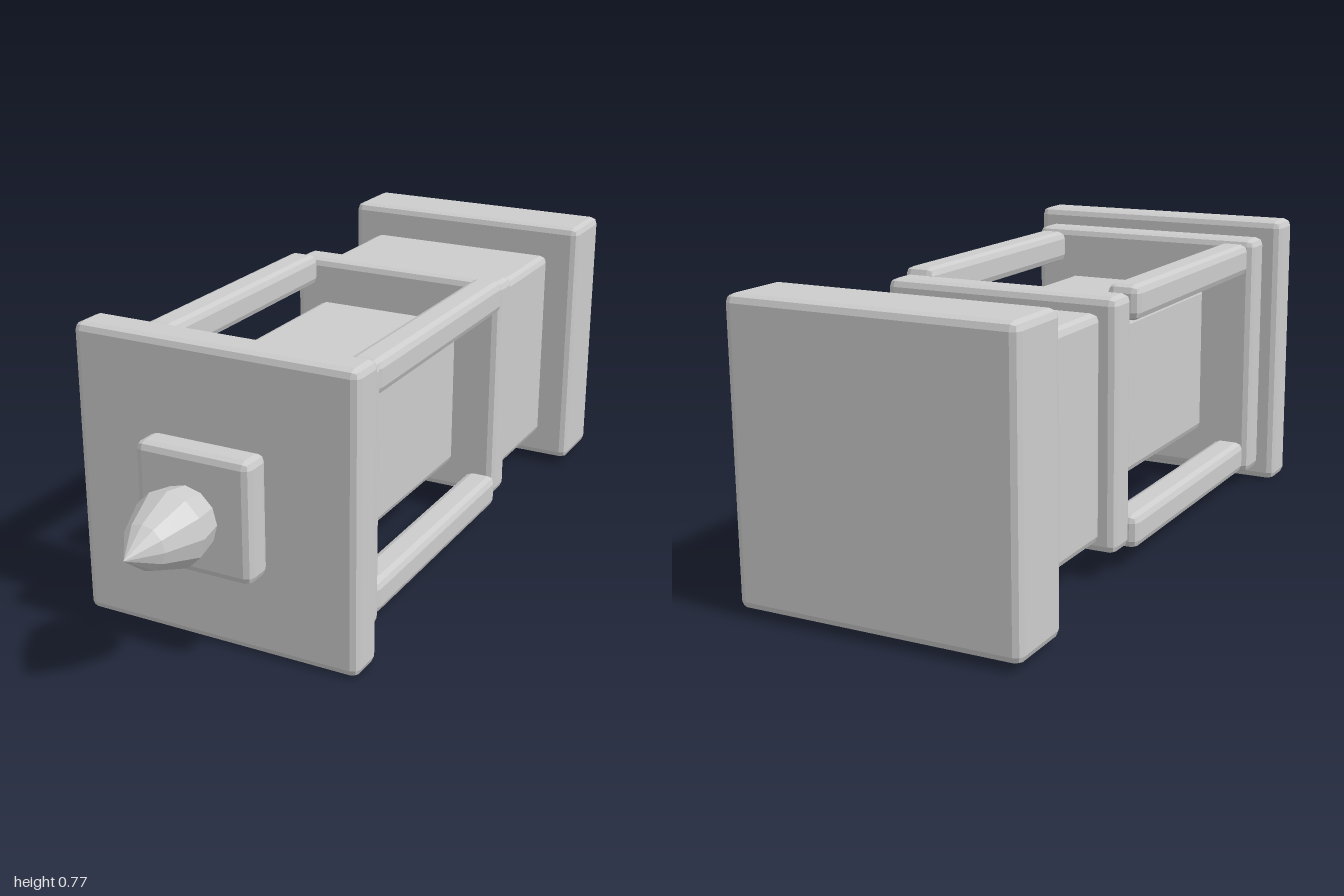
import * as THREE from 'three';
import { RoundedBoxGeometry } from 'three/addons/geometries/RoundedBoxGeometry.js';

const AXIS_Y = 0.388; // height of the lantern's long axis, which lies along z

export function createModel() {
  const model = new THREE.Group();
  model.name = 'lantern';
  const grey = new THREE.MeshStandardMaterial({ color: 0xcccccc });
  grey.name = 'plain grey';

  // Box with a two-facet bevel, square across the axis, spanning z0 to z1
  function block(name, width, z0, z1, bevel = 0.02, x = 0, y = 0) {
    const geometry = new RoundedBoxGeometry(width, width, z1 - z0, 1, bevel);
    geometry.computeVertexNormals(); // flat facets
    const mesh = new THREE.Mesh(geometry, grey);
    mesh.name = name;
    mesh.position.set(x, AXIS_Y + y, (z0 + z1) / 2);
    model.add(mesh);
  }

  // Stacked body, from the foot at the back to the cap at the front
  block('base', 0.735, -1.0, -0.807);
  block('pedestal', 0.565, -0.802, -0.435);
  block('collar', 0.633, -0.43, -0.335);
  block('lampCore', 0.42, -0.3, 0.395);
  block('lowerRoof', 0.68, 0.43, 0.525);
  block('upperRoof', 0.767, 0.53, 0.638);
  block('finialPlate', 0.31, 0.645, 0.73);

  // Four corner posts around the lamp
  for (const x of [-1, 1]) {
    for (const y of [-1, 1]) block('cornerPost', 0.087, -0.332, 0.427, 0.02, x * 0.286, y * 0.288);
  }

  // Twelve-sided pointed finial
  const profile = [[0, 0.73], [0.083, 0.752], [0.097, 0.825], [0.057, 0.925], [0, 1.0]]
    .map(([r, z]) => new THREE.Vector2(r, z));
  const finialGeometry = new THREE.LatheGeometry(profile, 12).rotateX(Math.PI / 2).toNonIndexed();
  finialGeometry.computeVertexNormals();
  const finial = new THREE.Mesh(finialGeometry, grey);
  finial.name = 'finial';
  finial.position.y = AXIS_Y;
  model.add(finial);

  return model;
}
